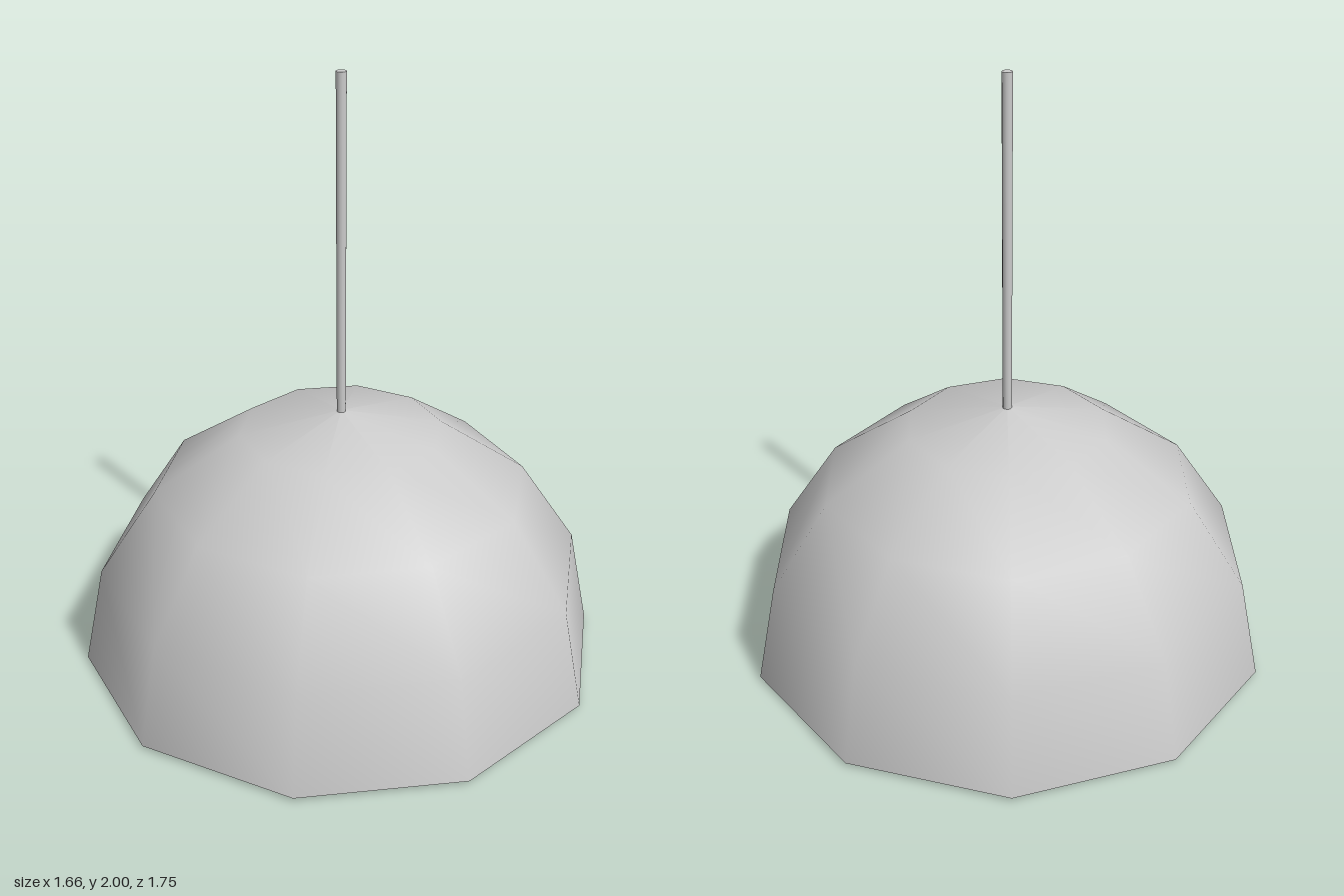
import * as THREE from 'three';

const SIDES = 10, RINGS = 4;
const OUTER = 0.873, INNER = 0.83, BASE = 0.012;

// Quarter-circle profile from the rim up to the crown
function domeProfile(radius, rimY) {
  const points = [];
  for (let i = 0; i <= RINGS; i++) {
    const a = (i / RINGS) * Math.PI / 2;
    const r = i === RINGS ? 0 : radius * Math.cos(a);
    points.push(new THREE.Vector2(r, i === 0 ? rimY : BASE + radius * Math.sin(a)));
  }
  return points;
}

export function createModel() {
  const group = new THREE.Group();
  const material = new THREE.MeshStandardMaterial({ color: 0xcccccc });
  const add = (name, geometry) => {
    const mesh = new THREE.Mesh(geometry, material);
    mesh.name = name;
    group.add(mesh);
    return mesh;
  };

  // Ten-sided dome shade with thickness: outside, inside and the rim joining them
  const outside = domeProfile(OUTER, BASE);
  const inside = domeProfile(INNER, 0);
  add('shadeOutside', new THREE.LatheGeometry(outside, SIDES));
  add('shadeInside', new THREE.LatheGeometry([...inside].reverse(), SIDES));
  add('shadeRim', new THREE.LatheGeometry([inside[0], outside[0]], SIDES));

  // Hanging rod rising from the crown
  const bottom = 0.87, top = 2;
  add('hangingRod', new THREE.CylinderGeometry(0.017, 0.015, top - bottom, 12))
    .position.y = (top + bottom) / 2;

  return group;
}
